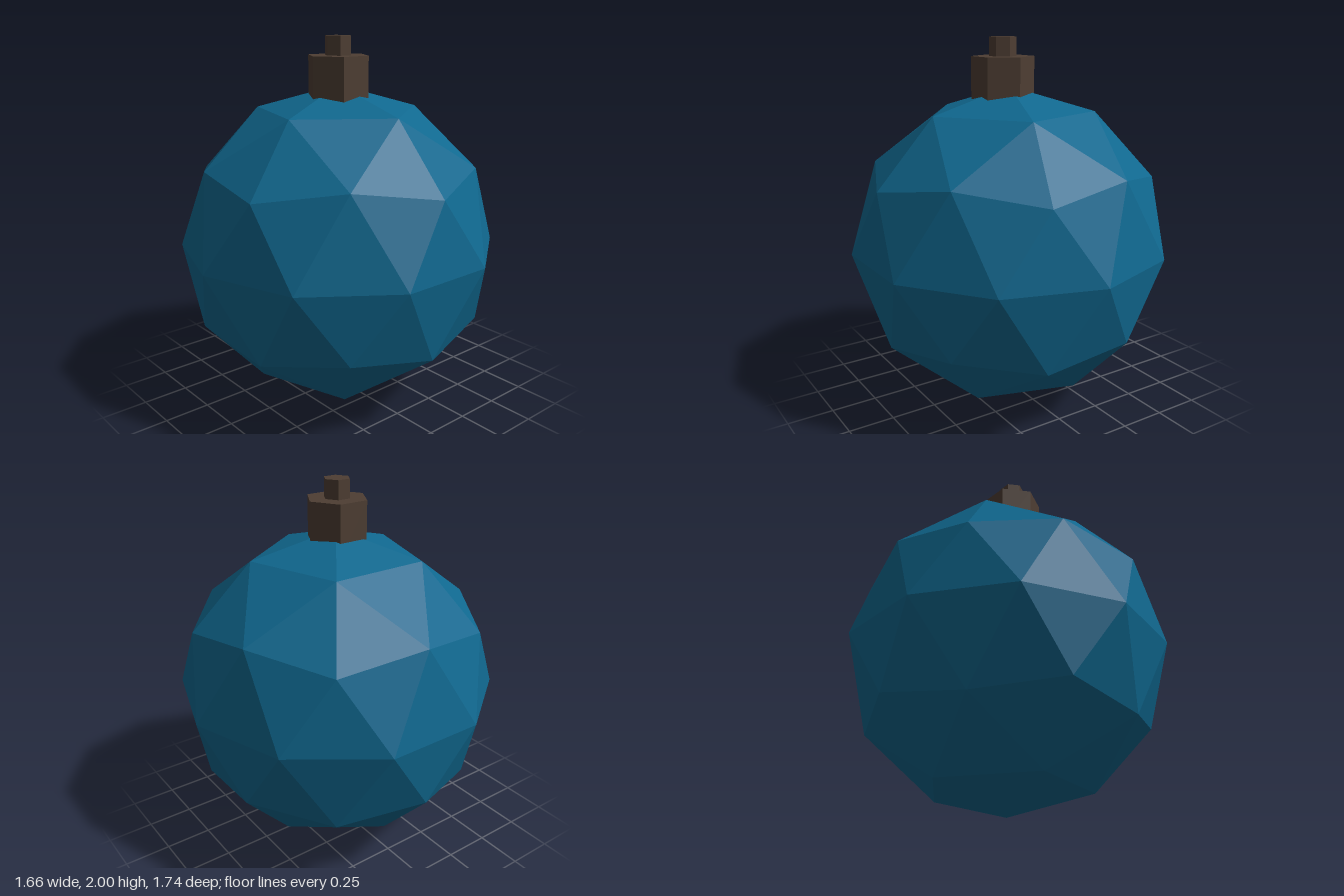
import * as THREE from 'three';

const BLUE = 0x10688f;
const BROWN = 0x4e3e33;

function part(name, geometry, color) {
  const material = new THREE.MeshStandardMaterial({ color, flatShading: true });
  const mesh = new THREE.Mesh(geometry, material);
  mesh.name = name;
  return mesh;
}

// Six-sided prism from y0 to y1, with corners towards front and back
function hexPrism(name, radius, y0, y1) {
  const mesh = part(name, new THREE.CylinderGeometry(radius, radius, y1 - y0, 6), BROWN);
  mesh.position.set(0.025, (y0 + y1) / 2, 0.023);
  return mesh;
}

export function createModel() {
  const group = new THREE.Group();
  group.name = 'bauble';

  // Faceted ball, tipped so that one corner of the icosahedron is straight up
  const radius = 0.872;
  const golden = (1 + Math.sqrt(5)) / 2;
  const ballGeometry = new THREE.IcosahedronGeometry(radius, 1);
  ballGeometry.rotateZ(-Math.atan(1 / golden));
  const ball = part('ball', ballGeometry, BLUE);
  ball.position.y = radius;
  group.add(ball);

  // Cap sunk into the top of the ball, with a smaller stub on it
  group.add(hexPrism('cap', 0.168, 1.62, 1.9));
  group.add(hexPrism('stub', 0.072, 1.88, 2));

  return group;
}
